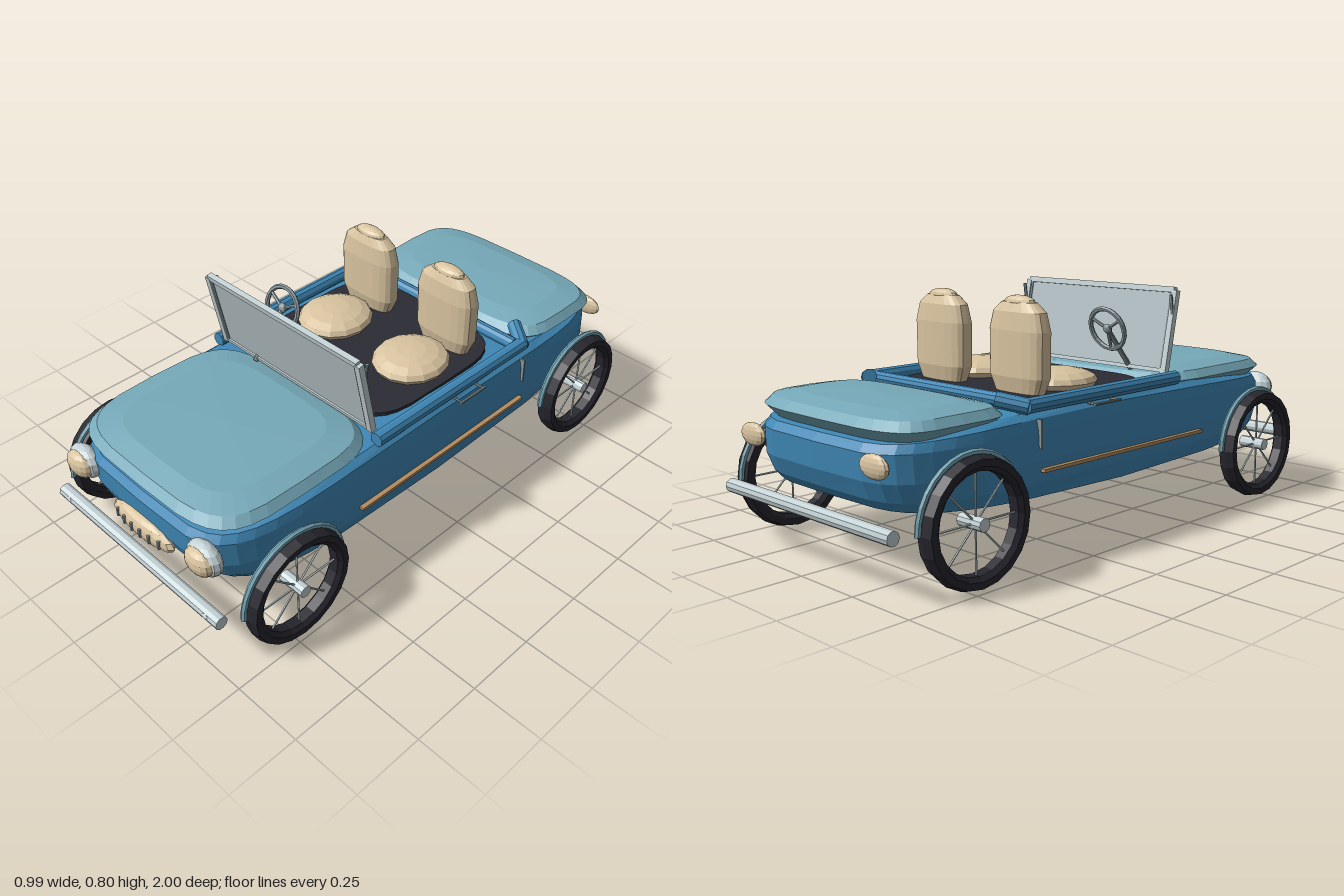
import * as THREE from 'three';

const mat = (name, color, extra = {}) => new THREE.MeshStandardMaterial({ name, color, flatShading: true, ...extra });

export function createModel() {
  const M = {
    blue: mat('body blue', 0x3f88b6),
    teal: mat('pale teal', 0x76a9b9),
    tan: mat('cream tan', 0xd9c4a0),
    chrome: mat('chrome', 0xc3d1d4),
    black: mat('tyre black', 0x26262e),
    floor: mat('cabin dark', 0x2b2b34),
    trim: mat('trim bronze', 0xb58c5e),
    steel: mat('steel grey', 0x89979b),
    glass: mat('windscreen grey', 0xb3c1c5, { side: THREE.DoubleSide }),
  };
  const car = new THREE.Group();
  car.name = 'openCar';

  const add = (name, geo, material, pos = [0, 0, 0], parent = car) => {
    const m = new THREE.Mesh(geo, material);
    m.name = name;
    m.position.set(...pos);
    parent.add(m);
    return m;
  };

  // Stack of rounded-rectangle rings [y, halfX, halfZ, rise at the ends], bottom to top
  const loft = (rings, power, seg = 32) => {
    const pos = [], idx = [];
    const sp = (v) => Math.sign(v) * Math.pow(Math.abs(v), 2 / power);
    for (const [y, hx, hz, rise = 0] of rings) {
      for (let j = 0; j < seg; j++) {
        const t = (j / seg) * Math.PI * 2;
        const c = sp(Math.cos(t)), s = sp(Math.sin(t));
        pos.push(c * hx, y + rise * s * s * (hz > 0 ? 1 : 0), s * hz);
      }
    }
    for (let i = 0; i < rings.length - 1; i++) {
      for (let j = 0; j < seg; j++) {
        const k = (j + 1) % seg;
        const a = i * seg + j, b = i * seg + k, c = a + seg, d = b + seg;
        if (rings[i][1] > 0) idx.push(a, c, b);
        if (rings[i + 1][1] > 0) idx.push(b, c, d);
      }
    }
    const g = new THREE.BufferGeometry();
    g.setAttribute('position', new THREE.Float32BufferAttribute(pos, 3));
    g.setIndex(idx);
    g.computeVertexNormals();
    return g;
  };

  // Straight round bar between two points
  const rod = (name, a, b, r, material, parent = car, seg = 10) => {
    const A = new THREE.Vector3(...a), B = new THREE.Vector3(...b);
    const m = add(name, new THREE.CylinderGeometry(r, r, A.distanceTo(B), seg), material, [0, 0, 0], parent);
    m.position.copy(A).add(B).multiplyScalar(0.5);
    m.quaternion.setFromUnitVectors(new THREE.Vector3(0, 1, 0), B.sub(A).normalize());
    return m;
  };

  const blob = (name, size, material, pos, parent = car) =>
    add(name, new THREE.SphereGeometry(1, 14, 8).scale(...size), material, pos, parent);

  // Hull
  add('body', loft([
    [0.17, 0, 0],
    [0.178, 0.30, 0.68, 0.01],
    [0.192, 0.40, 0.89, 0.038],
    [0.25, 0.418, 0.915, 0.01],
    [0.32, 0.424, 0.94],
    [0.415, 0.418, 0.945, -0.01],
    [0.455, 0.41, 0.925, -0.025],
    [0.48, 0.385, 0.88, -0.045],
    [0.48, 0, 0],
  ], 5.5, 36), M.blue);

  // Hood and rear deck
  const deck = (name, hz, z, hx) => add(name, loft([
    [0.44, 0, 0],
    [0.44, hx - 0.03, hz - 0.03, -0.01],
    [0.473, hx + 0.005, hz, -0.005],
    [0.50, hx - 0.02, hz - 0.025, -0.005],
    [0.514, hx - 0.1, hz - 0.09, -0.003],
    [0.518, 0, 0],
  ], 4.2), M.teal, [0, 0, z]);
  deck('hood', 0.345, 0.595, 0.39);
  deck('rearDeck', 0.235, -0.69, 0.39);

  // Cabin floor
  add('cabinFloor', loft([[0.46, 0.34, 0.325], [0.488, 0.34, 0.325], [0.488, 0, 0]], 4.5), M.floor, [0, 0, -0.075]);

  // Cabin rim bars
  for (const s of [1, -1]) {
    rod('sideRail', [s * 0.388, 0.49, 0.30], [s * 0.388, 0.49, -0.44], 0.025, M.blue);
    rod('cornerRail', [s * 0.395, 0.488, -0.43], [s * 0.31, 0.508, -0.49], 0.026, M.blue);
  }
  rod('rearRail', [-0.37, 0.49, -0.415], [0.37, 0.49, -0.415], 0.022, M.blue);

  // Seats
  for (const s of [1, -1]) {
    const seat = new THREE.Group();
    seat.name = 'seat';
    seat.position.set(s * 0.185, 0, 0);
    car.add(seat);
    blob('seatCushion', [0.132, 0.045, 0.14], M.tan, [0, 0.505, -0.08], seat);
    add('seatBack', loft([
      [0.485, 0, 0], [0.485, 0.10, 0.035], [0.54, 0.122, 0.047], [0.69, 0.124, 0.047],
      [0.75, 0.108, 0.04], [0.78, 0.07, 0.028], [0.784, 0, 0],
    ], 2.8, 20), M.tan, [0, 0, -0.26], seat);
    blob('headrest', [0.065, 0.022, 0.03], M.tan, [0, 0.78, -0.26], seat);
  }

  // Windscreen, leaning forward at the top
  const screen = new THREE.Group();
  screen.name = 'windscreen';
  screen.position.set(0, 0.505, 0.285);
  screen.rotation.x = 0.2;
  car.add(screen);
  add('glass', new THREE.BoxGeometry(0.68, 0.285, 0.006), M.glass, [0, 0.143, 0], screen);
  for (const s of [1, -1]) {
    add('outerPost', new THREE.BoxGeometry(0.022, 0.292, 0.022), M.chrome, [s * 0.352, 0.143, 0], screen);
    add('innerPost', new THREE.BoxGeometry(0.008, 0.28, 0.012), M.steel, [s * 0.337, 0.14, 0], screen);
    rod('screenStay', [s * 0.355, 0.775, 0.31], [s * 0.355, 0.67, 0.325], 0.006, M.steel);
  }
  add('topBar', new THREE.BoxGeometry(0.70, 0.02, 0.02), M.chrome, [0, 0.29, 0], screen);
  add('bottomBar', new THREE.BoxGeometry(0.70, 0.014, 0.018), M.chrome, [0, 0.006, 0], screen);

  // Steering wheel and column
  const steering = new THREE.Group();
  steering.name = 'steering';
  steering.position.set(-0.19, 0.655, 0.168);
  steering.rotation.x = -0.3;
  car.add(steering);
  add('steeringRim', new THREE.TorusGeometry(0.075, 0.009, 6, 20), M.steel, [0, 0, 0], steering);
  for (const a of [Math.PI / 2 + Math.PI, Math.PI / 6, Math.PI * 5 / 6]) {
    rod('steeringSpoke', [0, 0, 0], [Math.cos(a) * 0.075, Math.sin(a) * 0.075, 0], 0.006, M.steel, steering, 6);
  }
  blob('steeringBoss', [0.018, 0.018, 0.012], M.steel, [0, 0, 0], steering);
  rod('steeringColumn', [-0.19, 0.655, 0.168], [-0.19, 0.50, 0.30], 0.009, M.steel);

  // Wheels with spokes and slim fenders
  const tyreProfile = [[0.155, -0.018], [0.17, -0.03], [0.192, -0.03], [0.2, 0], [0.192, 0.03], [0.17, 0.03],
    [0.155, 0.018], [0.155, -0.018]].map(([r, w]) => new THREE.Vector2(r, w));
  for (const s of [1, -1]) for (const z of [0.715, -0.715]) {
    const wheel = new THREE.Group();
    wheel.name = z > 0 ? 'frontWheel' : 'rearWheel';
    wheel.position.set(s * 0.459, 0.2, z);
    car.add(wheel);
    add('tyre', new THREE.LatheGeometry(tyreProfile, 20).rotateZ(Math.PI / 2), M.black, [0, 0, 0], wheel);
    for (let i = 0; i < 8; i++) {
      const a = (i / 8) * Math.PI * 2;
      rod('spoke', [0, 0, 0], [0, Math.cos(a) * 0.158, Math.sin(a) * 0.158], 0.0035, M.chrome, wheel, 5);
    }
    rod('hub', [-s * 0.06, 0, 0], [s * 0.038, 0, 0], 0.021, M.chrome, wheel);
    add('fender', new THREE.TorusGeometry(0.204, 0.01, 6, 16, Math.PI).rotateY(Math.PI / 2), M.teal, [-s * 0.014, 0, 0], wheel);
  }

  // Bumpers
  for (const z of [0.975, -0.975]) {
    rod('bumper', [-0.41, 0.2, z], [0.41, 0.2, z], 0.023, M.chrome);
  }

  // Lamps, side trim, handles and door seams
  for (const s of [1, -1]) {
    blob('headlampShell', [0.073, 0.058, 0.04], M.chrome, [s * 0.305, 0.372, 0.935]);
    blob('headlampLens', [0.06, 0.048, 0.034], M.tan, [s * 0.305, 0.372, 0.956]);
    blob('tailLamp', [0.065, 0.038, 0.018], M.tan, [s * 0.305, 0.38, -0.952]);
    blob('bumperLamp', [0.018, 0.012, 0.01], M.chrome, [s * 0.357, 0.202, 0.99]);
    add('sideTrim', new THREE.BoxGeometry(0.02, 0.011, 0.81), M.trim, [s * 0.427, 0.291, 0]);
    rod('doorHandle', [s * 0.437, 0.466, -0.05], [s * 0.437, 0.466, -0.18], 0.005, M.steel);
    for (const z of [-0.06, -0.17]) rod('handleMount', [s * 0.40, 0.466, z], [s * 0.437, 0.466, z], 0.004, M.steel, car, 6);
    add('doorSeam', new THREE.BoxGeometry(0.02, 0.09, 0.006), M.steel, [s * 0.418, 0.405, -0.41]);
  }

  // Grille
  blob('grille', [0.155, 0.045, 0.032], M.tan, [0, 0.294, 0.94]);
  for (let i = 0; i < 6; i++) {
    const x = (i - 2.5) * 0.042;
    add('grilleSlat', new THREE.BoxGeometry(0.008, 0.032, 0.012), M.steel, [x, 0.297, 0.971 - x * x * 0.9]);
  }
  return car;
}
